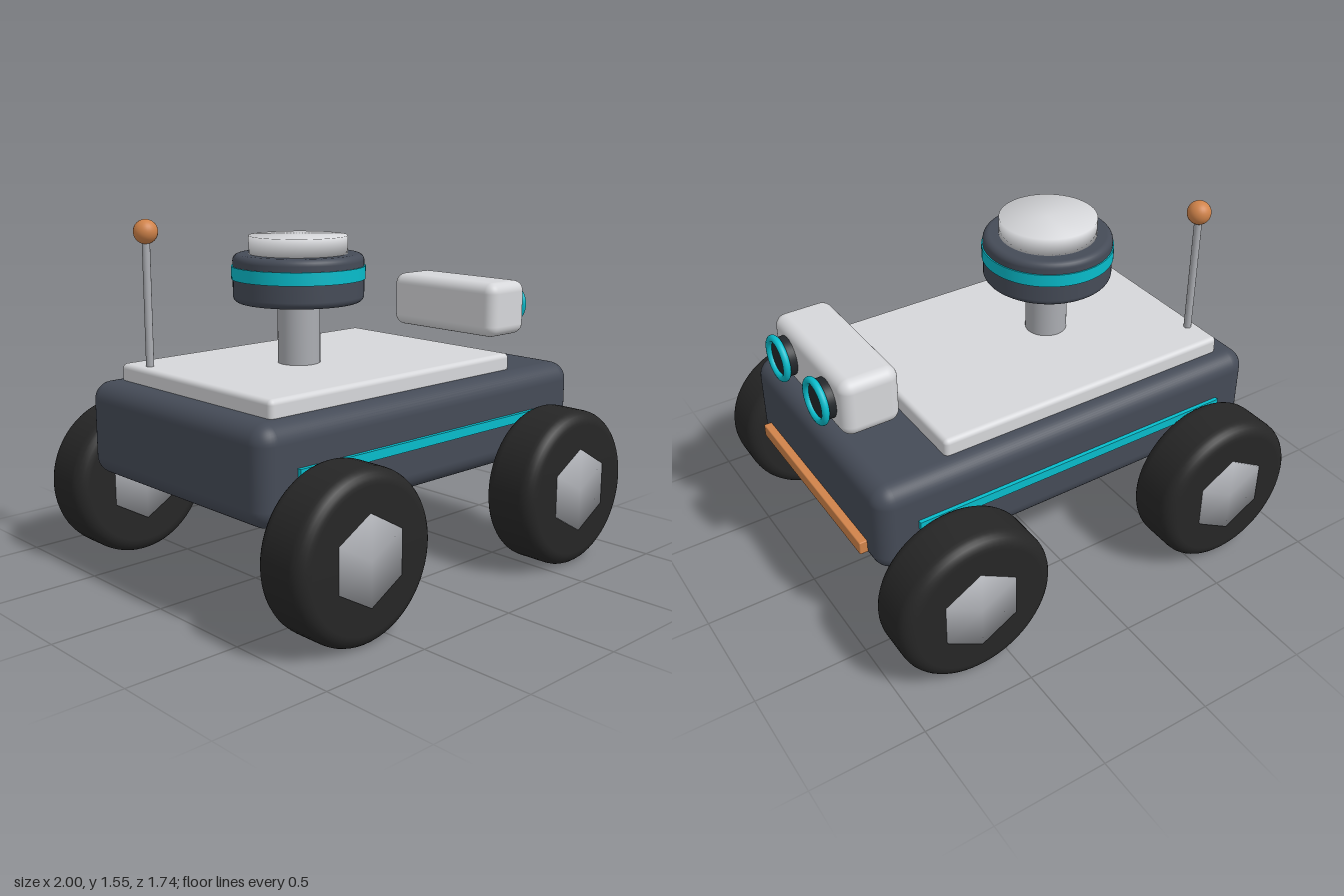
import * as THREE from 'three';
import { RoundedBoxGeometry } from 'three/addons/geometries/RoundedBoxGeometry.js';
import { mergeVertices } from 'three/addons/utils/BufferGeometryUtils.js';

const material = (name, color) => {
  const m = new THREE.MeshStandardMaterial({ color });
  m.name = name;
  return m;
};

// Rounded-edge disc around the y axis, centred on the origin
function roundedDisc(radius, height, bevel, segments = 64) {
  const h = height / 2;
  const points = [new THREE.Vector2(0, -h)];
  for (const top of [false, true]) {
    for (let i = 0; i <= 6; i++) {
      const a = (top ? 0 : -Math.PI / 2) + (i / 6) * Math.PI / 2;
      points.push(new THREE.Vector2(
        radius - bevel + Math.cos(a) * bevel,
        (top ? h - bevel : bevel - h) + Math.sin(a) * bevel));
    }
  }
  points.push(new THREE.Vector2(0, h));
  return new THREE.LatheGeometry(points, segments);
}

// Cylinder whose normals blend softly over the rims
function softCylinder(radius, height, sides) {
  const g = new THREE.CylinderGeometry(radius, radius, height, sides);
  g.deleteAttribute('normal');
  g.deleteAttribute('uv');
  const merged = mergeVertices(g);
  merged.computeVertexNormals();
  return merged;
}

export function createModel() {
  const navy = material('slate hull', 0x454b57);
  const white = material('pale panel', 0xd6d7da);
  const teal = material('teal trim', 0x08bccb);
  const copper = material('copper', 0xd0834a);
  const rubber = material('black rubber', 0x262626);
  const metal = material('grey metal', 0xabadb2);
  const glass = material('dark lens', 0x22262a);

  const model = new THREE.Group();
  model.name = 'rover';
  const add = (name, geometry, mat, x, y, z, parent = model) => {
    const mesh = new THREE.Mesh(geometry, mat);
    mesh.name = name;
    mesh.position.set(x, y, z);
    parent.add(mesh);
    return mesh;
  };

  // Hull, deck and bumper
  add('hull', new RoundedBoxGeometry(1.875, 0.41, 1.175, 5, 0.08), navy, 0, 0.652, 0);
  add('deck', new RoundedBoxGeometry(1.405, 0.09, 1.0, 3, 0.022), white, -0.118, 0.885, 0);
  add('bumper', new RoundedBoxGeometry(0.06, 0.06, 0.935, 2, 0.005), copper, 0.942, 0.535, 0);

  // Side stripes and wheels
  const tyre = roundedDisc(0.35, 0.255, 0.06).rotateX(Math.PI / 2);
  const hub = softCylinder(0.185, 0.275, 6).rotateX(Math.PI / 2);
  for (const side of [1, -1]) {
    add('sideStripe', new THREE.BoxGeometry(1.53, 0.04, 0.03), teal, 0, 0.656, side * 0.59);
    for (const end of [1, -1]) {
      const wheel = new THREE.Group();
      wheel.name = 'wheel';
      wheel.position.set(end * 0.648, 0.355, side * 0.73);
      model.add(wheel);
      add('tyre', tyre, rubber, 0, 0, 0, wheel);
      add('hub', hub, metal, 0, 0, 0, wheel);
    }
  }

  // Sensor turret
  const turret = new THREE.Group();
  turret.name = 'turret';
  turret.position.set(-0.238, 0, 0);
  model.add(turret);
  add('mast', new THREE.CylinderGeometry(0.092, 0.092, 0.3, 40), metal, 0, 1.06, 0, turret);
  add('turretDrum', roundedDisc(0.281, 0.205, 0.028), navy, 0, 1.298, 0, turret);
  add('turretBand', new THREE.CylinderGeometry(0.287, 0.287, 0.055, 64), teal, 0, 1.322, 0, turret);
  add('turretCap', softCylinder(0.212, 0.08, 48), white, 0, 1.437, 0, turret);

  // Camera head with two ringed lenses
  add('cameraHead', new RoundedBoxGeometry(0.255, 0.255, 0.645, 5, 0.05), white, 0.797, 1.087, 0);
  for (const side of [1, -1]) {
    const lens = new THREE.CylinderGeometry(0.085, 0.085, 0.07, 40).rotateZ(Math.PI / 2);
    add('lens', lens, glass, 0.935, 1.087, side * 0.177);
    const ring = new THREE.TorusGeometry(0.086, 0.016, 12, 48).rotateY(Math.PI / 2);
    add('lensRing', ring, teal, 0.972, 1.087, side * 0.177);
  }

  // Antenna
  add('antennaRod', new THREE.CylinderGeometry(0.017, 0.017, 0.58, 20), metal, -0.768, 1.2, -0.357);
  add('antennaBall', new THREE.SphereGeometry(0.052, 28, 20), copper, -0.768, 1.5, -0.357);

  return model;
}
